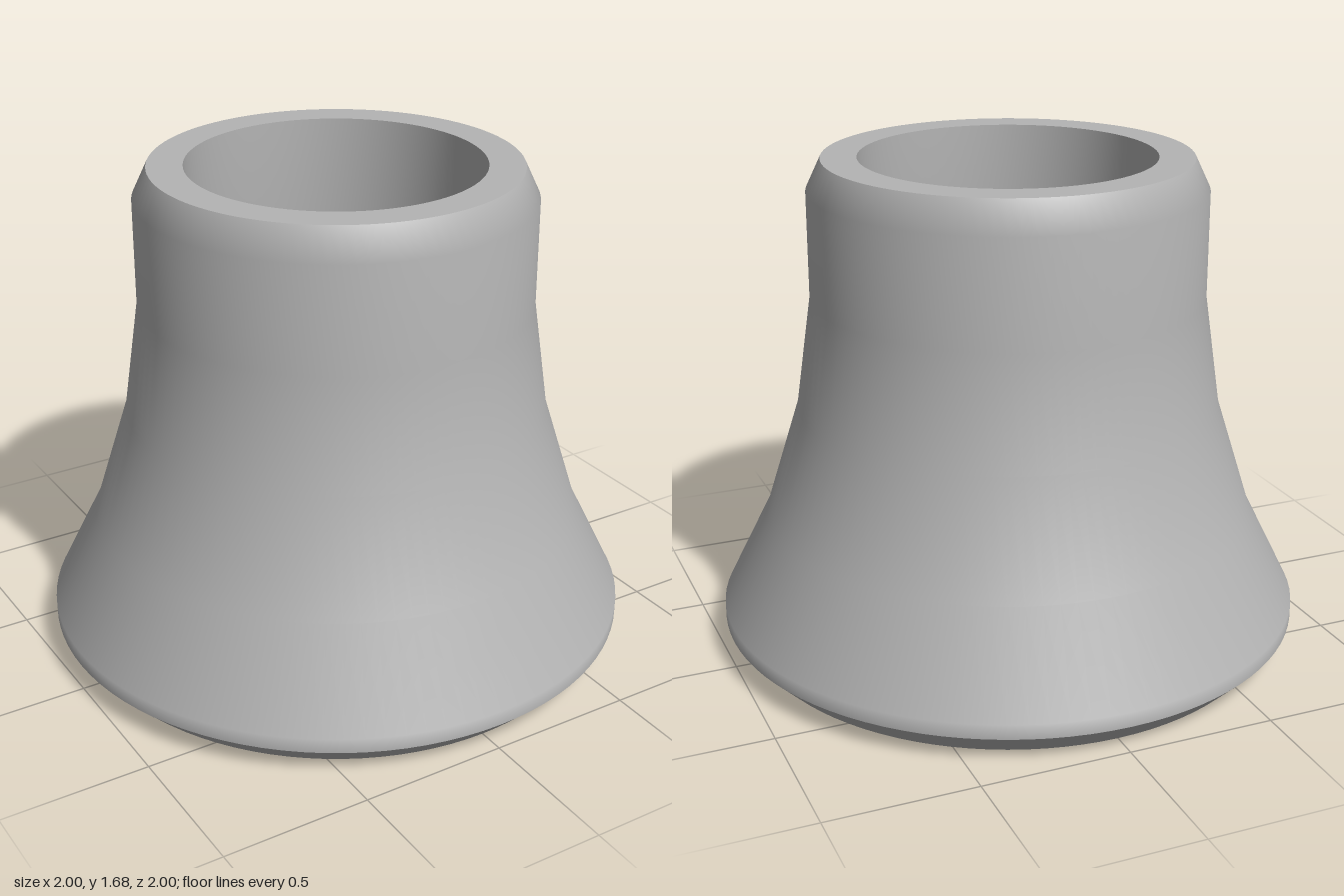
import * as THREE from 'three';

// Hollow flared collar, turned from profile sections; each section shades smoothly
// and meets its neighbour at a crisp edge.
export function createModel() {
  const group = new THREE.Group();
  group.name = 'flaredCollar';
  const grey = new THREE.MeshStandardMaterial({ color: 0xb4b4b4 });
  grey.name = 'plainGrey';

  // Profile points are [radius, height], running up the outside and down the bore
  const sections = {
    bottomChamfer: [[0.91, 0], [1, 0.09]],
    outerWall: [[1, 0.09], [1, 0.14], [0.84, 0.46], [0.72, 0.84], [0.665, 1.22], [0.665, 1.58], [0.615, 1.685]],
    topRim: [[0.615, 1.685], [0.495, 1.685]],
    innerWall: [[0.495, 1.685], [0.495, 1.22], [0.55, 0.82], [0.67, 0.44], [0.81, 0.14], [0.81, 0]],
    bottomRim: [[0.81, 0], [0.91, 0]],
  };

  for (const [name, profile] of Object.entries(sections)) {
    const points = profile.map(([r, y]) => new THREE.Vector2(r, y));
    const mesh = new THREE.Mesh(new THREE.LatheGeometry(points, 96), grey);
    mesh.name = name;
    group.add(mesh);
  }
  return group;
}
